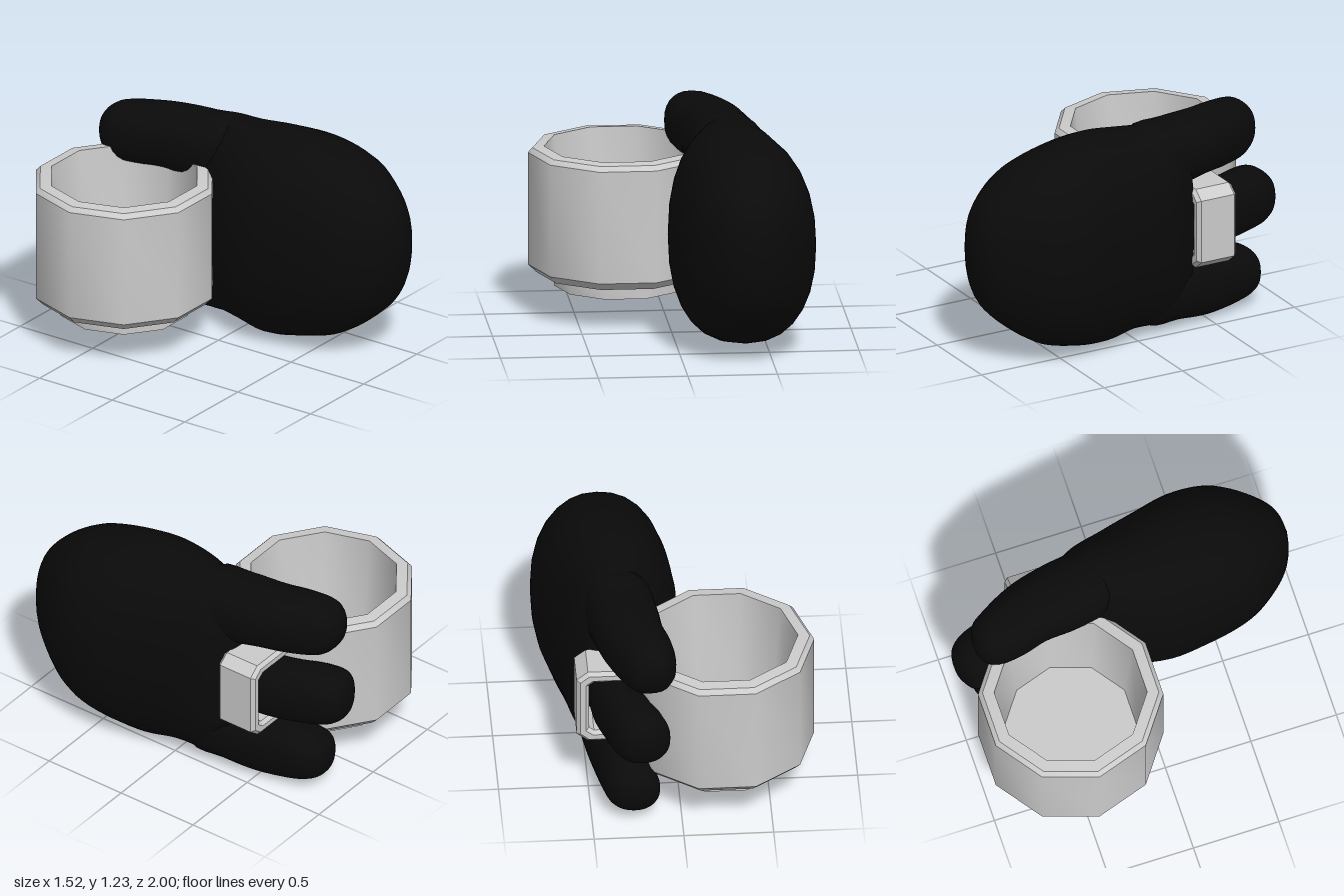
import * as THREE from 'three';
import { mergeVertices, toCreasedNormals } from 'three/addons/utils/BufferGeometryUtils.js';

const mugMaterial = new THREE.MeshStandardMaterial({ color: 0xcccccc });
const handMaterial = new THREE.MeshStandardMaterial({ color: 0x0a0a0a });

// Smooth closed form through cross-sections [z, xMin, xMax, yMin, yMax], front to back.
function loft(name, rows, power = 2.3, sides = 28) {
  const spline = (a, b) => new THREE.CatmullRomCurve3(
    rows.map(r => new THREE.Vector3(r[0], r[a], r[b])), false, 'catmullrom', 0.5);
  const xs = spline(1, 2), ys = spline(3, 4);
  const steps = (rows.length - 1) * 4;
  const positions = [], index = [];
  const bend = v => Math.sign(v) * Math.pow(Math.abs(v), 2 / power);
  for (let i = 0; i <= steps; i++) {
    const px = xs.getPoint(i / steps), py = ys.getPoint(i / steps);
    for (let j = 0; j < sides; j++) {
      const t = (j / sides) * Math.PI * 2;
      positions.push(
        (px.y + px.z) / 2 + (px.z - px.y) / 2 * bend(Math.cos(t)),
        (py.y + py.z) / 2 + (py.z - py.y) / 2 * bend(Math.sin(t)),
        px.x);
      if (i === steps) continue;
      const a = i * sides + j, b = i * sides + (j + 1) % sides;
      index.push(a, a + sides, b, b, a + sides, b + sides);
    }
  }
  let geometry = new THREE.BufferGeometry();
  geometry.setAttribute('position', new THREE.Float32BufferAttribute(positions, 3));
  geometry.setIndex(index);
  geometry = mergeVertices(geometry);
  geometry.computeVertexNormals();
  const mesh = new THREE.Mesh(geometry, handMaterial);
  mesh.name = name;
  return mesh;
}

function createHand() {
  const hand = new THREE.Group();
  hand.name = 'hand';
  hand.add(
    loft('palm', [
      [1.0, 0.38, 0.38, 0.68, 0.68],
      [0.97, 0.26, 0.49, 0.48, 0.86],
      [0.9, 0.16, 0.58, 0.32, 0.98],
      [0.75, 0.05, 0.69, 0.18, 1.1],
      [0.6, 0.0, 0.75, 0.085, 1.165],
      [0.4, -0.03, 0.755, 0.03, 1.21],
      [0.2, -0.04, 0.71, 0.0, 1.225],
      [0.0, 0.0, 0.66, 0.03, 1.21],
      [-0.2, 0.1, 0.6, 0.03, 1.2],
      [-0.31, 0.14, 0.53, 0.06, 1.17],
      [-0.37, 0.2, 0.48, 0.15, 1.08],
      [-0.39, 0.34, 0.34, 0.61, 0.61],
    ]),
    loft('upperFinger', [
      [-0.02, 0.3, 0.3, 1.0, 1.0],
      [-0.1, 0.15, 0.5, 0.86, 1.19],
      [-0.3, 0.1, 0.5, 0.82, 1.2],
      [-0.5, 0.08, 0.46, 0.84, 1.2],
      [-0.65, 0.04, 0.41, 0.84, 1.195],
      [-0.8, 0.03, 0.33, 0.85, 1.18],
      [-0.88, 0.08, 0.27, 0.92, 1.12],
      [-0.91, 0.17, 0.17, 1.02, 1.02],
    ]),
    loft('middleFinger', [
      [-0.1, 0.35, 0.35, 0.61, 0.61],
      [-0.2, 0.2, 0.52, 0.43, 0.79],
      [-0.45, 0.21, 0.5, 0.43, 0.79],
      [-0.62, 0.18, 0.48, 0.43, 0.79],
      [-0.8, 0.1, 0.42, 0.43, 0.785],
      [-0.91, 0.07, 0.38, 0.45, 0.76],
      [-0.98, 0.15, 0.32, 0.51, 0.7],
      [-1.0, 0.24, 0.24, 0.61, 0.61],
    ]),
    loft('lowerFinger', [
      [-0.02, 0.34, 0.34, 0.2, 0.2],
      [-0.1, 0.2, 0.52, 0.04, 0.38],
      [-0.3, 0.17, 0.52, 0.03, 0.39],
      [-0.5, 0.17, 0.48, 0.01, 0.375],
      [-0.7, 0.14, 0.44, 0.025, 0.365],
      [-0.81, 0.12, 0.41, 0.055, 0.325],
      [-0.87, 0.18, 0.35, 0.1, 0.27],
      [-0.89, 0.27, 0.27, 0.19, 0.19],
    ]));
  return hand;
}

function createMug() {
  const mug = new THREE.Group();
  mug.name = 'mug';

  // Ten-sided body: foot, chamfered wall, rim, tapered inside and floor
  const profile = [
    [0, 0.165], [0.37, 0.165], [0.37, 0.243], [0.47, 0.245], [0.515, 0.29], [0.515, 0.93],
    [0.49, 0.957], [0.425, 0.965], [0.37, 0.4], [0, 0.4],
  ].map(([r, y]) => new THREE.Vector2(r, y));
  const bodyGeometry = new THREE.LatheGeometry(profile, 10, Math.PI / 2);
  const body = new THREE.Mesh(toCreasedNormals(bodyGeometry, 0.68), mugMaterial);
  body.name = 'mugBody';
  body.position.set(-0.245, 0, -0.47);

  // Handle: bevelled C-shaped band, its ends sunk into the wall
  const bevel = 0.02;
  const shape = new THREE.Shape([
    [0.2, 0.39], [0.5, 0.39], [0.55, 0.43], [0.55, 0.78], [0.5, 0.82], [0.2, 0.82],
    [0.2, 0.79], [0.48, 0.79], [0.52, 0.76], [0.52, 0.45], [0.48, 0.42], [0.2, 0.42],
  ].map(([x, y]) => new THREE.Vector2(x, y)));
  const handleGeometry = new THREE.ExtrudeGeometry(shape, {
    depth: 0.21, bevelEnabled: true, bevelSegments: 1, bevelSize: bevel, bevelThickness: bevel,
  });
  const handle = new THREE.Mesh(handleGeometry, mugMaterial);
  handle.name = 'mugHandle';
  handle.position.z = -0.47 - 0.105;

  mug.add(body, handle);
  return mug;
}

export function createModel() {
  const model = new THREE.Group();
  model.name = 'handHoldingMug';
  model.add(createMug(), createHand());
  return model;
}
